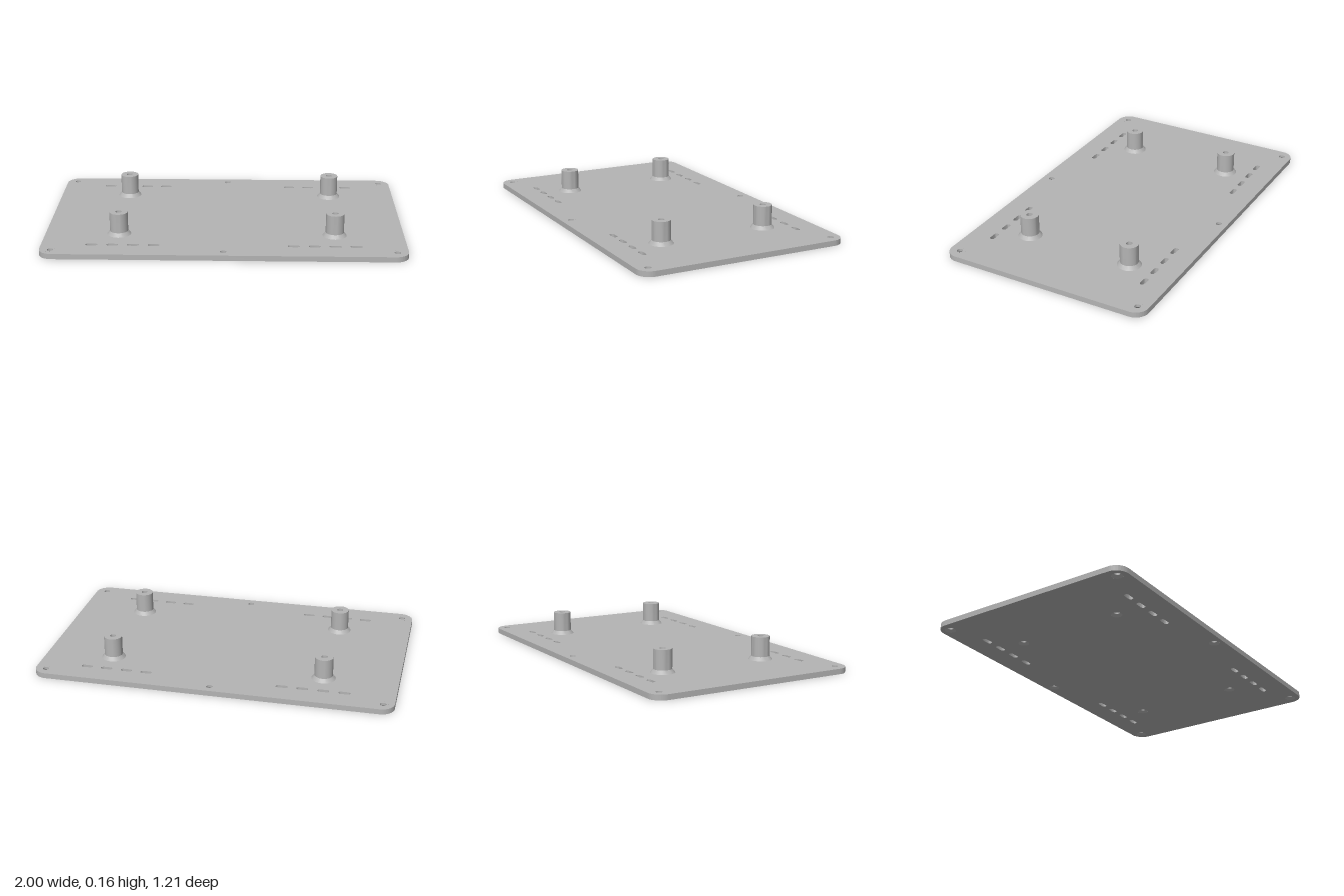
import * as THREE from 'three';
import { toCreasedNormals } from 'three/addons/utils/BufferGeometryUtils.js';

const SEG = 32;
const THICK = 0.03;       // plate thickness
const BORE = 0.017;       // screw hole radius
const SINK = 0.03;        // countersink radius on the underside
const SINK_DEPTH = 0.014;
const HEIGHT = 0.16;      // top of the standoffs

// Rounded rectangle centred on (x, y); works for the plate and the slots
function roundedRect(target, x, y, w, h, r) {
  const a = w / 2 - r, b = h / 2 - r;
  target.absarc(x + a, y + b, r, 0, Math.PI / 2);
  target.absarc(x - a, y + b, r, Math.PI / 2, Math.PI);
  target.absarc(x - a, y - b, r, Math.PI, Math.PI * 1.5);
  target.absarc(x + a, y - b, r, Math.PI * 1.5, Math.PI * 2);
  target.closePath();
  return target;
}

function lathe(points) {
  const profile = points.map(([r, y]) => new THREE.Vector2(r, y));
  return toCreasedNormals(new THREE.LatheGeometry(profile, SEG), 0.5);
}

export function createModel() {
  const model = new THREE.Group();
  model.name = 'mountingPlate';
  const grey = new THREE.MeshStandardMaterial({ color: 0xb4b4b4 });
  grey.name = 'plain grey';

  const add = (name, geometry, x = 0, z = 0) => {
    const mesh = new THREE.Mesh(geometry, grey);
    mesh.name = name;
    mesh.position.set(x, 0, z);
    model.add(mesh);
  };

  // Positions as [x, z]
  const screwHoles = [[0, -0.558], [0, 0.554]];
  const standoffs = [];
  for (const x of [-0.938, 0.938]) for (const z of [-0.55, 0.546]) screwHoles.push([x, z]);
  for (const x of [-0.588, 0.614]) for (const z of [-0.323, 0.303]) standoffs.push([x, z]);

  // Plate outline with round openings and rows of cable slots
  const outline = roundedRect(new THREE.Shape(), 0, 0, 2, 1.214, 0.075);
  for (const [x, z] of [...screwHoles, ...standoffs]) {
    outline.holes.push(new THREE.Path().absarc(x, -z, SINK, 0, Math.PI * 2));
  }
  for (const side of [-1, 1]) {
    for (const z of [-0.472, 0.469]) {
      for (let i = 0; i < 4; i++) {
        const x = side * (0.381 + i * 0.114);
        outline.holes.push(roundedRect(new THREE.Path(), x, -z, 0.064, 0.026, 0.0128));
      }
    }
  }
  const plate = new THREE.ExtrudeGeometry(outline, { depth: THICK, bevelEnabled: false, curveSegments: SEG });
  plate.rotateX(-Math.PI / 2);
  add('basePlate', toCreasedNormals(plate, 0.5));

  // Countersunk bore shared by screw holes and standoffs
  const bore = [[BORE, SINK_DEPTH], [SINK, 0]];

  const holeGeometry = lathe([[SINK, THICK], [BORE, THICK], ...bore]);
  for (const [x, z] of screwHoles) add('screwHole', holeGeometry, x, z);

  // Hollow standoff with a flared foot
  const standoffGeometry = lathe([
    [0.067, THICK], [0.051, 0.05], [0.051, HEIGHT], [BORE, HEIGHT], ...bore,
  ]);
  for (const [x, z] of standoffs) add('standoff', standoffGeometry, x, z);

  return model;
}
